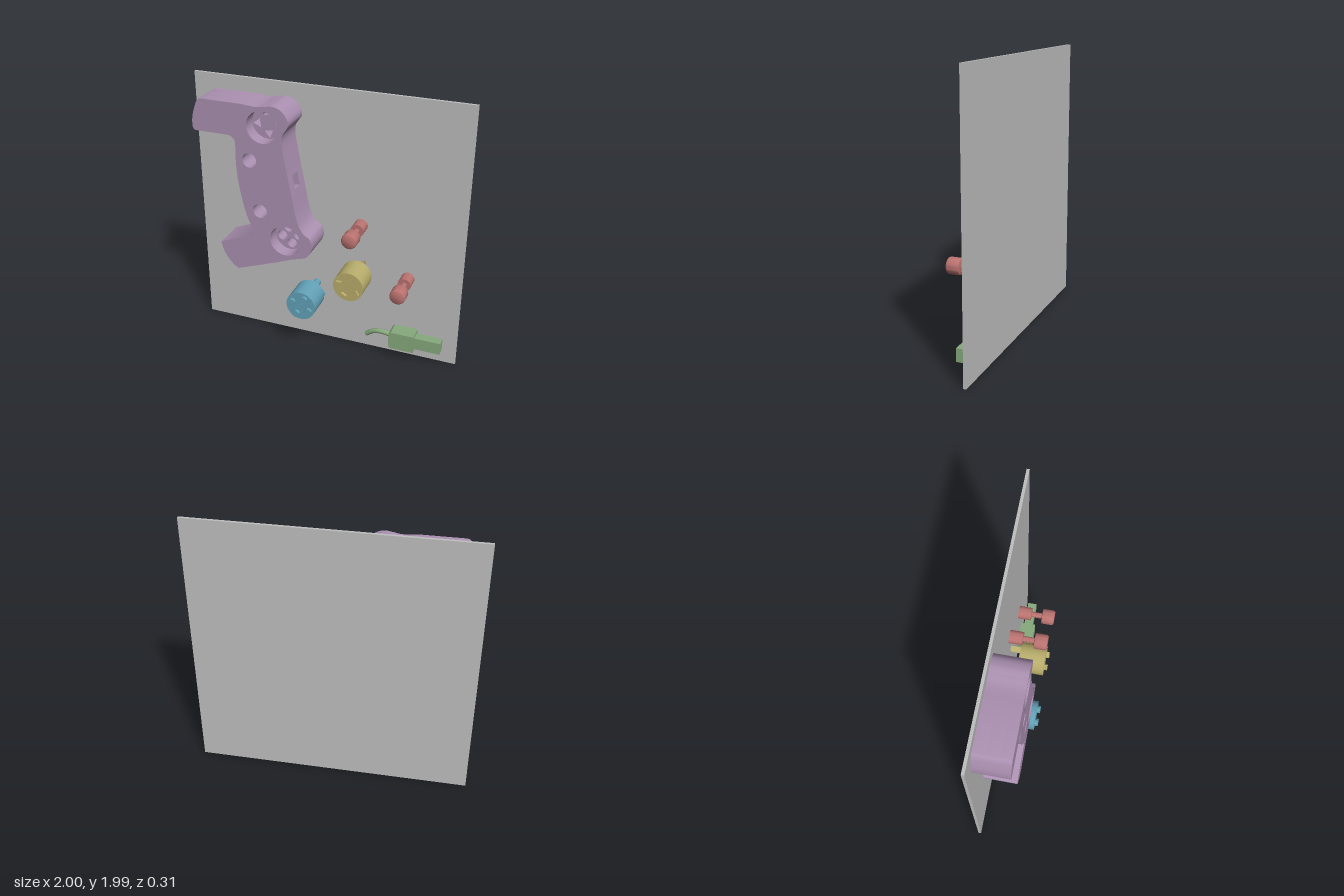
import * as THREE from 'three';
import { toCreasedNormals } from 'three/addons/utils/BufferGeometryUtils.js';

const BACK = -0.135; // front surface of the board
const FRONT = 0.105; // front face of the grip

const material = (name, color) => {
  const m = new THREE.MeshStandardMaterial({ color });
  m.name = name;
  return m;
};

const vectors = (list) => list.map(([x, y]) => new THREE.Vector2(x, y));

// Extrude a shape between two depths, keeping edges sharp and curves smooth
function slab(shape, z0, z1) {
  const g = new THREE.ExtrudeGeometry(shape, { depth: z1 - z0, bevelEnabled: false, curveSegments: 16 });
  return toCreasedNormals(g.translate(0, 0, z0), 0.5);
}

function circle(x, y, r, Type = THREE.Path) {
  return new Type().absarc(x, y, r, 0, Math.PI * 2, false);
}

function triangle(x, y, r, angle, Type = THREE.Path) {
  return new Type(vectors([0, 1, 2, 0].map((i) => {
    const a = angle + (i * Math.PI * 2) / 3;
    return [x + r * Math.cos(a), y + r * Math.sin(a)];
  })));
}

// Four positions evenly spaced around a centre
function ring(cx, cy, radius, startDegrees) {
  return [0, 1, 2, 3].map((i) => {
    const a = THREE.MathUtils.degToRad(startDegrees + i * 90);
    return { x: cx + radius * Math.cos(a), y: cy + radius * Math.sin(a), a };
  });
}

const TOP_POCKET = [-0.382, 1.733];
const LOW_POCKET = [-0.23, 0.904];
const POCKET_R = 0.115;

// Grip outline, optionally with the side slot cut in
function gripShape(slot) {
  const s = new THREE.Shape();
  s.moveTo(-0.83, 1.88);
  s.lineTo(-0.52, 1.88);
  s.splineThru(vectors([[-0.42, 1.872], [-0.355, 1.882], [-0.297, 1.888], [-0.238, 1.866], [-0.197, 1.813],
    [-0.19, 1.77], [-0.21, 1.733], [-0.236, 1.69], [-0.238, 1.615], [-0.206, 1.428]]));
  if (slot) {
    s.lineTo(-0.198, 1.385);
    s.lineTo(-0.365, 1.353);
    s.lineTo(-0.345, 1.253);
    s.lineTo(-0.178, 1.285);
  }
  s.lineTo(-0.174, 1.262);
  s.splineThru(vectors([[-0.147, 1.118], [-0.12, 1.032], [-0.088, 0.984], [-0.045, 0.952], [-0.029, 0.898],
    [-0.04, 0.845], [-0.072, 0.802], [-0.126, 0.781], [-0.19, 0.761], [-0.286, 0.722]]));
  s.lineTo(-0.607, 0.604);
  s.splineThru(vectors([[-0.644, 0.626], [-0.698, 0.69], [-0.73, 0.76], [-0.737, 0.803]]));
  s.lineTo(-0.495, 0.901);
  s.splineThru(vectors([[-0.468, 0.925], [-0.468, 0.952], [-0.511, 1.027], [-0.548, 1.16], [-0.575, 1.31],
    [-0.586, 1.444], [-0.586, 1.594], [-0.602, 1.631], [-0.634, 1.647]]));
  s.lineTo(-0.89, 1.647);
  s.splineThru(vectors([[-0.906, 1.674], [-0.901, 1.749], [-0.874, 1.834], [-0.853, 1.872], [-0.83, 1.88]]));
  s.holes.push(
    circle(...TOP_POCKET, POCKET_R), circle(...LOW_POCKET, POCKET_R),
    circle(-0.484, 1.481, 0.053), circle(-0.417, 1.107, 0.053),
  );
  return s;
}

export function createModel() {
  const model = new THREE.Group();
  const grey = material('board grey', 0xbebebe);
  const purple = material('grip purple', 0xac91b2);
  const blue = material('round peg blue', 0x62a2b8);
  const yellow = material('triangle peg yellow', 0xb8ad6c);
  const red = material('button red', 0xba7370);
  const green = material('cable green', 0x87aa7d);

  const add = (name, geometry, mat, parent = model) => {
    const mesh = new THREE.Mesh(geometry, mat);
    mesh.name = name;
    parent.add(mesh);
    return mesh;
  };
  const group = (name) => {
    const g = new THREE.Group();
    g.name = name;
    model.add(g);
    return g;
  };

  // Backing board
  add('board', new THREE.BoxGeometry(2, 1.985, 0.02).translate(0, 0.9925, BACK - 0.01), grey);

  // Grip in three layers; the middle one carries the side slot
  const grip = group('grip');
  add('gripBack', slab(gripShape(false), BACK, -0.055), purple, grip);
  add('gripMiddle', slab(gripShape(true), -0.055, 0.031), purple, grip);
  add('gripFront', slab(gripShape(false), 0.031, FRONT), purple, grip);

  // Pocket floors with keyed sockets
  const topFloor = circle(...TOP_POCKET, POCKET_R, THREE.Shape);
  ring(...TOP_POCKET, 0.073, 97).forEach((p) => topFloor.holes.push(triangle(p.x, p.y, 0.036, p.a)));
  add('triangleSocket', slab(topFloor, BACK, 0.005), purple, grip);
  const lowFloor = circle(...LOW_POCKET, POCKET_R, THREE.Shape);
  ring(...LOW_POCKET, 0.063, 10).forEach((p) => lowFloor.holes.push(circle(p.x, p.y, 0.037)));
  add('roundSocket', slab(lowFloor, BACK, 0.005), purple, grip);

  // Round inserts with four pins running right through
  const insert = (name, x, y, mat, pin) => {
    const g = group(name);
    add('insertBody', slab(circle(x, y, 0.111, THREE.Shape), -0.06, 0.132), mat, g);
    ring(x, y, 0.07, 65).forEach((p) => add('pin', slab(pin(p), BACK, 0.155), mat, g));
  };
  insert('roundPinInsert', -0.107, 0.406, blue, (p) => circle(p.x, p.y, 0.026, THREE.Shape));
  insert('trianglePinInsert', 0.254, 0.647, yellow, (p) => triangle(p.x, p.y, 0.024, p.a + 2, THREE.Shape));

  // Buttons: foot, thin stem and rounded head
  const profile = vectors([[0, 0], [0.048, 0], [0.048, 0.098], [0.021, 0.098], [0.021, 0.18], [0.05, 0.18],
    [0.055, 0.183], [0.057, 0.19], [0.057, 0.259], [0.054, 0.269], [0.046, 0.275], [0, 0.275]]);
  const buttonGeometry = toCreasedNormals(new THREE.LatheGeometry(profile, 40).rotateX(Math.PI / 2), 0.7);
  for (const [x, y] of [[0.254, 1.008], [0.612, 0.647]]) {
    add('button', buttonGeometry, red).position.set(x, y, BACK);
  }

  // Cable plug: housing with clipped corners, plug end and curved lead
  const plug = group('cablePlug');
  const housing = new THREE.Shape(vectors([[0.535, 0.1], [0.707, 0.1], [0.707, 0.235], [0.535, 0.235],
    [0.52, 0.22], [0.52, 0.115]]));
  add('housing', slab(housing, BACK, -0.02), green, plug);
  add('plugEnd', new THREE.BoxGeometry(0.2, 0.093, 0.07).translate(0.8, 0.1675, -0.077), green, plug);
  const lead = new THREE.CatmullRomCurve3([[0.53, 0.172, -0.082], [0.485, 0.184, -0.079], [0.436, 0.187, -0.079],
    [0.385, 0.172, -0.086], [0.328, 0.128, -0.098]].map((p) => new THREE.Vector3(...p)));
  add('lead', new THREE.TubeGeometry(lead, 32, 0.018, 16), green, plug);
  const cap = add('leadEnd', new THREE.CircleGeometry(0.018, 16), green, plug);
  cap.position.copy(lead.getPoint(1));
  cap.lookAt(lead.getPoint(1).add(lead.getTangent(1)));

  return model;
}
